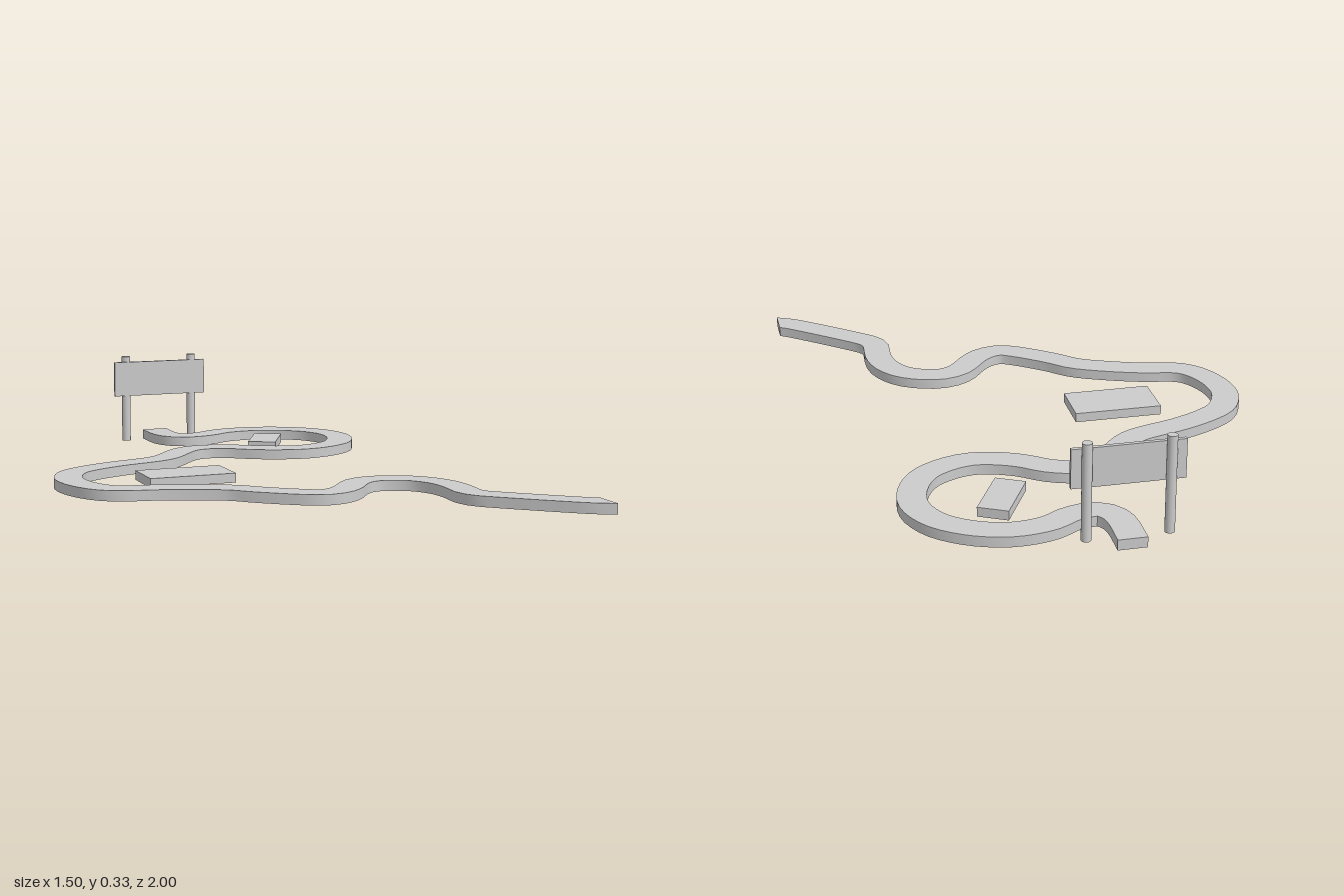
import * as THREE from 'three';
import { toCreasedNormals } from 'three/addons/utils/BufferGeometryUtils.js';

const material = new THREE.MeshStandardMaterial({ color: 0xcccccc });
const ROAD_HEIGHT = 0.035;
const ROAD_HALF_WIDTH = 0.047;

// Road centreline as x, z pairs, from the sign end to the open end
const CENTRELINE = [
  -0.106, -1, -0.106, -0.888, -0.09, -0.83, -0.053, -0.796, 0, -0.798, 0.048, -0.814,
  0.1, -0.846, 0.169, -0.864, 0.249, -0.864, 0.344, -0.833, 0.429, -0.772, 0.476, -0.698,
  0.492, -0.621, 0.476, -0.533, 0.429, -0.449, 0.354, -0.396, 0.27, -0.372, 0.19, -0.382,
  0.106, -0.417, 0.032, -0.47, -0.032, -0.496, -0.079, -0.502, -0.138, -0.486, -0.185, -0.443,
  -0.259, -0.353, -0.307, -0.316, -0.36, -0.295, -0.471, -0.263, -0.577, -0.216, -0.651, -0.163,
  -0.693, -0.088, -0.706, -0.014, -0.693, 0.07, -0.656, 0.15, -0.598, 0.198, -0.481, 0.224,
  -0.365, 0.264, -0.259, 0.314, -0.19, 0.378, -0.111, 0.441, -0.042, 0.486, 0, 0.494,
  0.048, 0.478, 0.095, 0.436, 0.138, 0.378, 0.18, 0.341, 0.238, 0.325, 0.307, 0.341,
  0.37, 0.383, 0.413, 0.457, 0.426, 0.537, 0.421, 0.637, 0.429, 0.67, 0.455, 0.706,
  0.561, 0.801, 0.677, 0.899, 0.72, 0.93, 0.75, 0.95,
];

function addMesh(parent, name, geometry, x = 0, y = 0, z = 0) {
  const mesh = new THREE.Mesh(geometry, material);
  mesh.name = name;
  mesh.position.set(x, y, z);
  parent.add(mesh);
  return mesh;
}

// Flat ribbon of constant width along the centreline, extruded upwards
function roadGeometry() {
  const points = [];
  for (let i = 0; i < CENTRELINE.length; i += 2) {
    points.push(new THREE.Vector2(CENTRELINE[i], -CENTRELINE[i + 1]));
  }
  const curve = new THREE.SplineCurve(points);
  const steps = 140;
  const left = [];
  const right = [];
  for (let i = 0; i <= steps; i++) {
    const p = curve.getPointAt(i / steps);
    const t = curve.getTangentAt(i / steps);
    // Both ends are cut square to the axes
    if (i === 0) t.set(0, -1);
    if (i === steps) t.set(1, 0);
    const side = new THREE.Vector2(-t.y, t.x).multiplyScalar(ROAD_HALF_WIDTH);
    left.push(p.clone().add(side));
    right.push(p.clone().sub(side));
  }
  const shape = new THREE.Shape([...right, ...left.reverse()]);
  const geometry = new THREE.ExtrudeGeometry(shape, { depth: ROAD_HEIGHT, bevelEnabled: false });
  geometry.rotateX(-Math.PI / 2);
  return toCreasedNormals(geometry, 0.6);
}

export function createModel() {
  const model = new THREE.Group();
  model.name = 'windingRoad';

  addMesh(model, 'road', roadGeometry());

  // Low slabs inside the bends
  const slabHeight = 0.032;
  const slabY = 0.003 + slabHeight / 2;
  addMesh(model, 'largeSlab', new THREE.BoxGeometry(0.3, slabHeight, 0.173), -0.305, slabY, -0.021);
  const smallSlab = addMesh(model, 'smallSlab', new THREE.BoxGeometry(0.102, slabHeight, 0.208), 0.214, slabY, -0.635);
  smallSlab.rotation.y = -0.475;

  // Sign: a board on the front of two round posts
  const sign = new THREE.Group();
  sign.name = 'sign';
  sign.position.set(-0.11, 0, -0.93);
  model.add(sign);
  for (const side of [-1, 1]) {
    addMesh(sign, 'signPost', new THREE.CylinderGeometry(0.016, 0.016, 0.322, 20), side * 0.13, 0.169, -0.001);
  }
  addMesh(sign, 'signBoard', new THREE.BoxGeometry(0.356, 0.129, 0.013), 0, 0.245, 0.01);

  return model;
}
